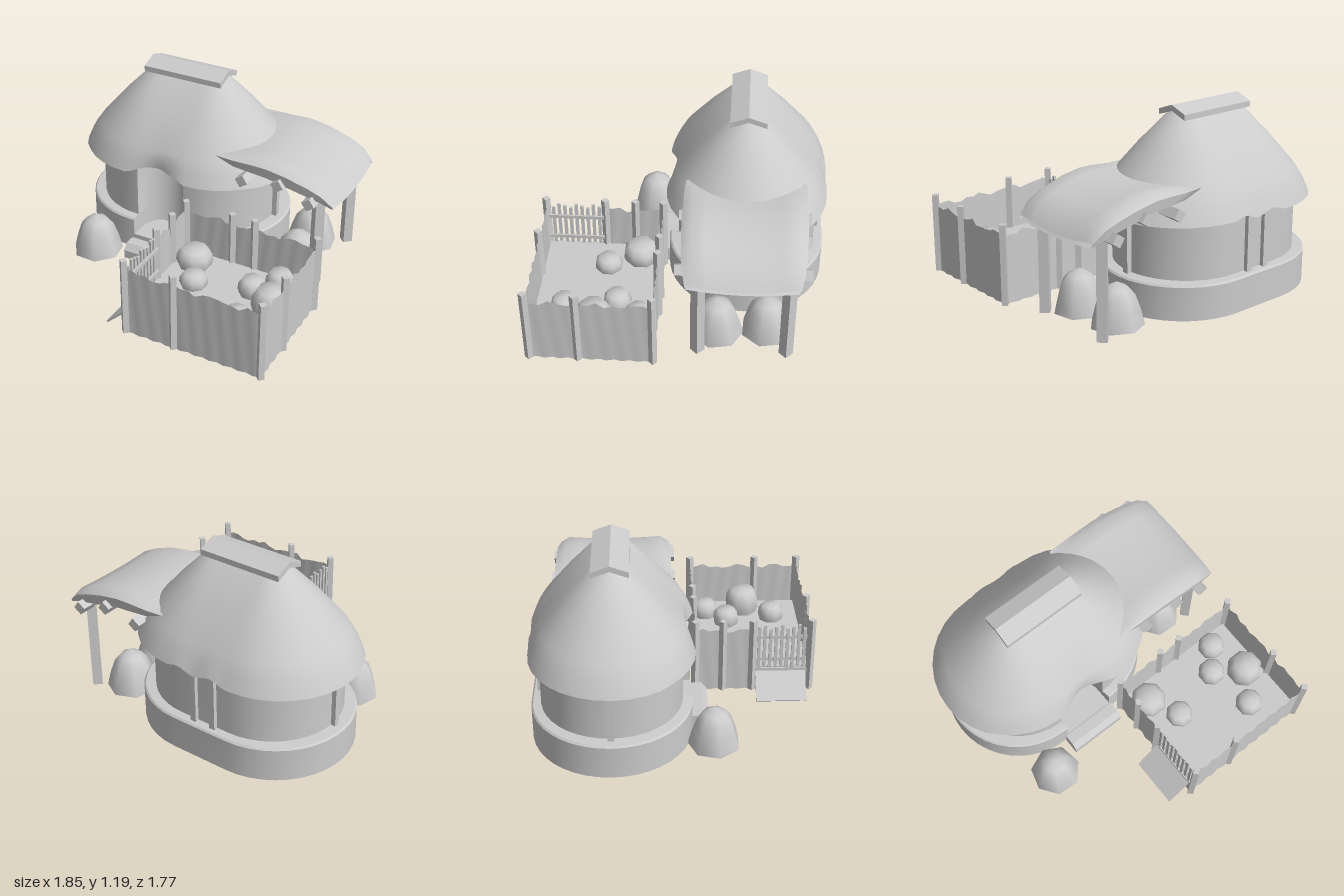
import * as THREE from 'three';
import { toCreasedNormals } from 'three/addons/utils/BufferGeometryUtils.js';

const mat = new THREE.MeshStandardMaterial({ color: 0xcccccc, side: THREE.DoubleSide });
const CX = -0.285, CZ = -0.385; // centre of the hut roof
const WZ = -0.395; // centre of the hut walls

function add(parent, name, geometry, x = 0, y = 0, z = 0) {
  const mesh = new THREE.Mesh(geometry, mat);
  mesh.name = name;
  mesh.position.set(x, y, z);
  parent.add(mesh);
  return mesh;
}

// Skin a surface over rows of [x, y, z] points
function loft(rows, closed = true, crease = 0.6) {
  const n = rows[0].length, index = [];
  for (let r = 0; r < rows.length - 1; r++) {
    for (let i = 0; i < (closed ? n : n - 1); i++) {
      const j = (i + 1) % n, a = r * n + i, b = r * n + j;
      index.push(a, a + n, b, b, a + n, b + n);
    }
  }
  const g = new THREE.BufferGeometry();
  g.setAttribute('position', new THREE.Float32BufferAttribute(rows.flat(2), 3));
  g.setIndex(index);
  return toCreasedNormals(g, crease);
}

// Bar along x with a section of [z, y] points
function bar(section, length) {
  const shape = new THREE.Shape(section.map(([z, y]) => new THREE.Vector2(-z, y)));
  return new THREE.ExtrudeGeometry(shape, { depth: length, bevelEnabled: false }).rotateY(Math.PI / 2);
}

// Square post turned by 45 degrees
function post(parent, name, x, z, y0, y1, size) {
  const p = add(parent, name, new THREE.BoxGeometry(size, y1 - y0, size), x, (y0 + y1) / 2, z);
  p.rotation.y = Math.PI / 4;
}

// Stadium outline with a round door recess in the front
function wallRing([r, half, y]) {
  const pts = [];
  for (let i = 0; i <= 20; i++) {
    const a = -Math.PI / 2 + (i / 20) * Math.PI;
    pts.push([CX + half + r * Math.cos(a), y, WZ + r * Math.sin(a)]);
  }
  for (let i = 0; i <= 14; i++) {
    const a = (i / 14) * Math.PI;
    const z = i === 0 || i === 14 ? WZ + r : -0.01 - 0.17 * Math.sin(a);
    pts.push([CX + 0.01 + 0.17 * Math.cos(a), y, z]);
  }
  for (let i = 0; i <= 20; i++) {
    const a = Math.PI / 2 + (i / 20) * Math.PI;
    pts.push([CX - half + r * Math.cos(a), y, WZ + r * Math.sin(a)]);
  }
  return pts;
}

// Thatch ring; wave ripples the rim and lifts it over the door
function roofRing([r, half, y, wave]) {
  const pts = [], arc = 16, side = 10;
  const push = (x, z, nx, nz) => {
    const door = nz > 0.7 ? Math.exp(-(((x - CX) / 0.14) ** 2)) : 0;
    const ripple = Math.sin(x * 27 + z * 19) * 0.016;
    const rr = r - wave * 0.065 * door;
    pts.push([x + nx * rr, y + wave * (ripple * (1 - door) + 0.04 * door), z + nz * rr]);
  };
  // Right end, front side, left end, rear side
  for (const s of [1, -1]) {
    for (let i = 0; i < arc; i++) {
      const a = -s * Math.PI / 2 + s * (i / arc) * Math.PI + (s < 0 ? Math.PI : 0);
      const b = s > 0 ? a : Math.PI / 2 + (i / arc) * Math.PI;
      push(CX + s * half, CZ, Math.cos(b), Math.sin(b));
    }
    for (let i = 0; i < side; i++) push(CX + s * half * (1 - (2 * i) / side), CZ, 0, s);
  }
  return pts;
}

function makeHut() {
  const hut = new THREE.Group();
  hut.name = 'hut';
  const walls = [[0.485, 0.19, 0.03], [0.485, 0.19, 0.235], [0.475, 0.19, 0.245], [0.428, 0.17, 0.25], [0.428, 0.17, 0.65]];
  add(hut, 'wallsAndPlinth', loft(walls.map(wallRing)));
  const roof = [[0.43, 0.21, 0.645, 0], [0.497, 0.21, 0.6, 1], [0.462, 0.205, 0.68, 0.4], [0.42, 0.19, 0.755, 0],
    [0.265, 0.18, 0.945, 0], [0.11, 0.17, 1.115, 0], [0.05, 0.17, 1.15, 0], [0, 0.17, 1.16, 0]];
  add(hut, 'thatchRoof', loft(roof.map(roofRing)));

  // Ridge cap with a gabled section
  const cap = [[0.11, 1.115], [0.11, 1.15], [0, 1.19], [-0.11, 1.15], [-0.11, 1.115], [0, 1.155]];
  add(hut, 'ridgeCap', bar(cap, 0.54), -0.56, 0, CZ);

  // Wall posts at both ends and beside the rear centre
  for (const [x, z] of [[-0.89, WZ], [0.325, WZ], [-0.355, -0.83], [-0.22, -0.83]])
    add(hut, 'wallPost', new THREE.BoxGeometry(0.038, 0.4, 0.038), x, 0.43, z);

  // Door step with a sloping front, and the threshold behind it
  add(hut, 'doorStep', bar([[-0.03, 0.005], [0.195, 0.005], [0.195, 0.06], [0.16, 0.1], [-0.03, 0.1]], 0.37), -0.46);
  add(hut, 'threshold', new THREE.BoxGeometry(0.34, 0.035, 0.24), -0.275, 0.113, -0.03);
  return hut;
}

function makePorch() {
  const porch = new THREE.Group();
  porch.name = 'porch';
  // Stations: x, top, lower edge, half width
  const stations = [[0.08, 0.8, 0.79, 0.36], [0.2, 0.822, 0.75, 0.365], [0.32, 0.833, 0.738, 0.365],
    [0.42, 0.835, 0.73, 0.365], [0.55, 0.815, 0.7, 0.362], [0.68, 0.772, 0.67, 0.355],
    [0.77, 0.725, 0.645, 0.345], [0.84, 0.64, 0.61, 0.325]];
  const ts = [-1, -0.85, -0.6, -0.3, 0, 0.3, 0.6, 0.85, 1];
  const rows = stations.map(([x, top, low, w]) => {
    const bulge = (t) => x + (x > 0.7 ? 0.015 * (1 - t * t) : 0);
    const upper = (t) => top - 0.025 * (1 - t * t);
    const over = ts.map((t) => [bulge(t), upper(t) - (Math.abs(t) === 1 ? (top - low) * 0.4 : 0), CZ + t * w]);
    const under = [...ts].reverse().map((t) => {
      const lift = Math.max(0, top - low - 0.05) * (1 - t ** 4);
      return [bulge(t), low + lift - 0.015 * (1 - t * t), CZ + t * w * 0.98];
    });
    return [...over, ...under];
  });
  add(porch, 'porchRoof', loft(rows, true, 0.9));
  for (const [x, y] of [[0.27, 0.68], [0.505, 0.71], [0.71, 0.64]])
    add(porch, 'porchBeam', new THREE.BoxGeometry(0.06, 0.06, 0.78), x, y, CZ).rotation.z = 0.6;
  for (const z of [-0.13, -0.655]) post(porch, 'porchPost', 0.728, z, 0.03, 0.64, 0.06);
  return porch;
}

// Plank fence, slightly corrugated, with an uneven top
function fence(parent, x0, z0, x1, z1) {
  const len = Math.hypot(x1 - x0, z1 - z0), n = Math.round(len / 0.045);
  const nx = (z1 - z0) / len, nz = -(x1 - x0) / len, low = [], high = [];
  for (let i = 0; i <= n; i++) {
    const k = i / n, o = i % 2 ? 0.005 : -0.005;
    const x = x0 + (x1 - x0) * k + nx * o, z = z0 + (z1 - z0) * k + nz * o;
    low.push([x, 0.015, z]);
    high.push([x, 0.448 + 0.012 * Math.sin(i * 1.15 + x0 * 5) + 0.008 * Math.sin(i * 2.3), z]);
  }
  add(parent, 'fencePanel', loft([low, high], false));
}

function boulder(parent, x, y, z, r, h, sides, profile) {
  const pts = profile.map(([a, b]) => new THREE.Vector2(a * r, b * h));
  add(parent, 'boulder', toCreasedNormals(new THREE.LatheGeometry(pts, sides), 1.1), x, y, z).rotation.y = 0.4;
}

function makePen() {
  const pen = new THREE.Group();
  pen.name = 'pen';
  const L = -0.04, R = 0.835, B = 0.125, F = 0.86;
  add(pen, 'penFloor', new THREE.BoxGeometry(R - L - 0.02, 0.012, F - B - 0.02), (L + R) / 2, 0.17, (B + F) / 2);
  fence(pen, L, F, R, F);
  fence(pen, R, F, R, B);
  fence(pen, R, B, L, B);
  fence(pen, L, B, L, 0.49);
  for (const [x, z] of [[L, F], [R, F], [L, B], [R, B], [0.28, F], [0.28, B], [0.43, B], [R, 0.57], [L, 0.49], [L, 0.3]])
    post(pen, 'fencePost', x, z, 0.015, 0.52, 0.036);

  // Gate: skirt below the floor, thin pickets and two rails
  add(pen, 'gateSkirt', new THREE.BoxGeometry(0.012, 0.155, 0.35), L, 0.093, 0.675);
  for (let i = 0; i < 9; i++)
    add(pen, 'gatePicket', new THREE.BoxGeometry(0.014, 0.3, 0.02), L + 0.005, 0.32 + 0.015 * Math.sin(i * 2.1), 0.53 + i * 0.036);
  for (const y of [0.23, 0.39])
    add(pen, 'gateRail', new THREE.BoxGeometry(0.014, 0.022, 0.35), L + 0.015, y, 0.675);

  // Ramp up to the gate
  add(pen, 'ramp', new THREE.BoxGeometry(0.2, 0.012, 0.32), -0.115, 0.08, 0.67).rotation.z = 0.74;

  const lump = [[0.85, 0], [1, 0.35], [0.95, 0.7], [0.68, 1], [0, 1.02]];
  for (const [x, z, r, h] of [[0.09, 0.255, 0.115, 0.13], [0.71, 0.48, 0.115, 0.18], [0.19, 0.45, 0.088, 0.1],
    [0.65, 0.22, 0.088, 0.12], [0.535, 0.36, 0.088, 0.12], [0.59, 0.67, 0.088, 0.12]])
    boulder(pen, x, 0.16, z, r, h, 8, lump);
  return pen;
}

export function createModel() {
  const model = new THREE.Group();
  model.name = 'thatchedHutWithPen';
  model.add(makeHut(), makePorch(), makePen());
  // Tapered boulders around the hut
  const cone = [[1, 0], [0.85, 0.37], [0.66, 0.7], [0.45, 0.86], [0, 1]];
  for (const [x, z] of [[-0.645, 0.215], [0.56, -0.24], [0.53, -0.54]])
    boulder(model, x, 0.03, z, 0.16, 0.26, 7, cone);
  return model;
}
